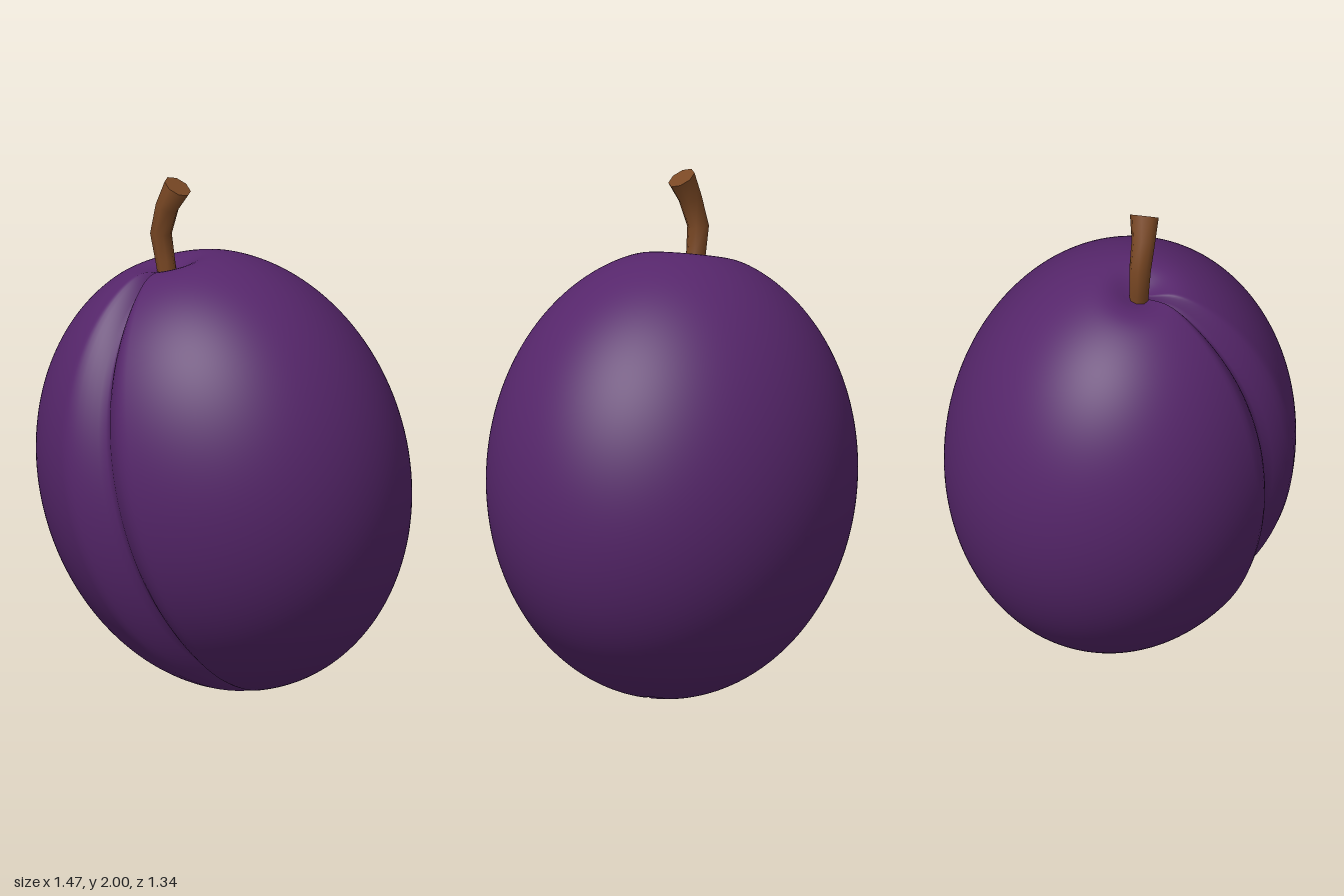
import * as THREE from 'three';
import { mergeVertices, toCreasedNormals } from 'three/addons/utils/BufferGeometryUtils.js';

const plumSkin = new THREE.MeshStandardMaterial({ name: 'plum skin', color: 0x56266b });
const stemBrown = new THREE.MeshStandardMaterial({ name: 'stem brown', color: 0x7a4824 });

// Ellipsoid with a lopsided front crease, a stem hollow and a tiny pit underneath
function fruitGeometry() {
  let geo = new THREE.SphereGeometry(1, 160, 96);
  geo.deleteAttribute('uv');
  geo.deleteAttribute('normal');
  geo = mergeVertices(geo, 1e-5);
  const pos = geo.attributes.position;
  const p = new THREE.Vector3();
  for (let i = 0; i < pos.count; i++) {
    p.fromBufferAttribute(pos, i);
    const ring = Math.hypot(p.x, p.z); // 0 at the poles, 1 at the equator
    const d = Math.atan2(p.x, p.z) + 0.14;
    const fall = Math.max(0, 1 - Math.abs(d) / (d < 0 ? 0.25 : 0.2));
    const crease = 0.135 * Math.pow(fall, 1.3) * Math.sqrt(ring);
    const top = p.y > 0;
    const hollow = top ? 0.075 * Math.exp(-((ring / 0.15) ** 2)) : 0.018 * Math.exp(-((ring / 0.035) ** 2));
    p.multiplyScalar(1 - crease);
    p.y -= top ? hollow : -hollow;
    pos.setXYZ(i, p.x * 0.728, p.y * 0.862, p.z * 0.666);
  }
  geo.computeVertexNormals();
  return geo;
}

// Eight-sided bent stem: rings of [x, y, z, radius, lean]
function stemGeometry() {
  const rings = [
    [-0.18, 1.58, 0.11, 0.036, -0.12],
    [-0.193, 1.67, 0.115, 0.038, -0.14],
    [-0.208, 1.775, 0.122, 0.042, 0.06],
    [-0.175, 1.885, 0.128, 0.046, 0.38],
    [-0.13, 1.968, 0.122, 0.056, 0.57],
  ];
  const geo = new THREE.CylinderGeometry(1, 1, 1, 8, rings.length - 1);
  const pos = geo.attributes.position;
  for (let i = 0; i < pos.count; i++) {
    const [x, y, z, r, lean] = rings[Math.round((pos.getY(i) + 0.5) * (rings.length - 1))];
    const u = pos.getX(i) * r;
    pos.setXYZ(i, x + u * Math.cos(lean), y - u * Math.sin(lean), z + pos.getZ(i) * r);
  }
  return toCreasedNormals(geo, 0.9);
}

export function createModel() {
  const model = new THREE.Group();
  model.name = 'plum';

  const fruit = new THREE.Mesh(fruitGeometry(), plumSkin);
  fruit.name = 'fruit';
  fruit.position.y = 0.855;
  fruit.rotation.set(0.14, 0, 0.2);
  model.add(fruit);

  const stem = new THREE.Mesh(stemGeometry(), stemBrown);
  stem.name = 'stem';
  model.add(stem);

  return model;
}
